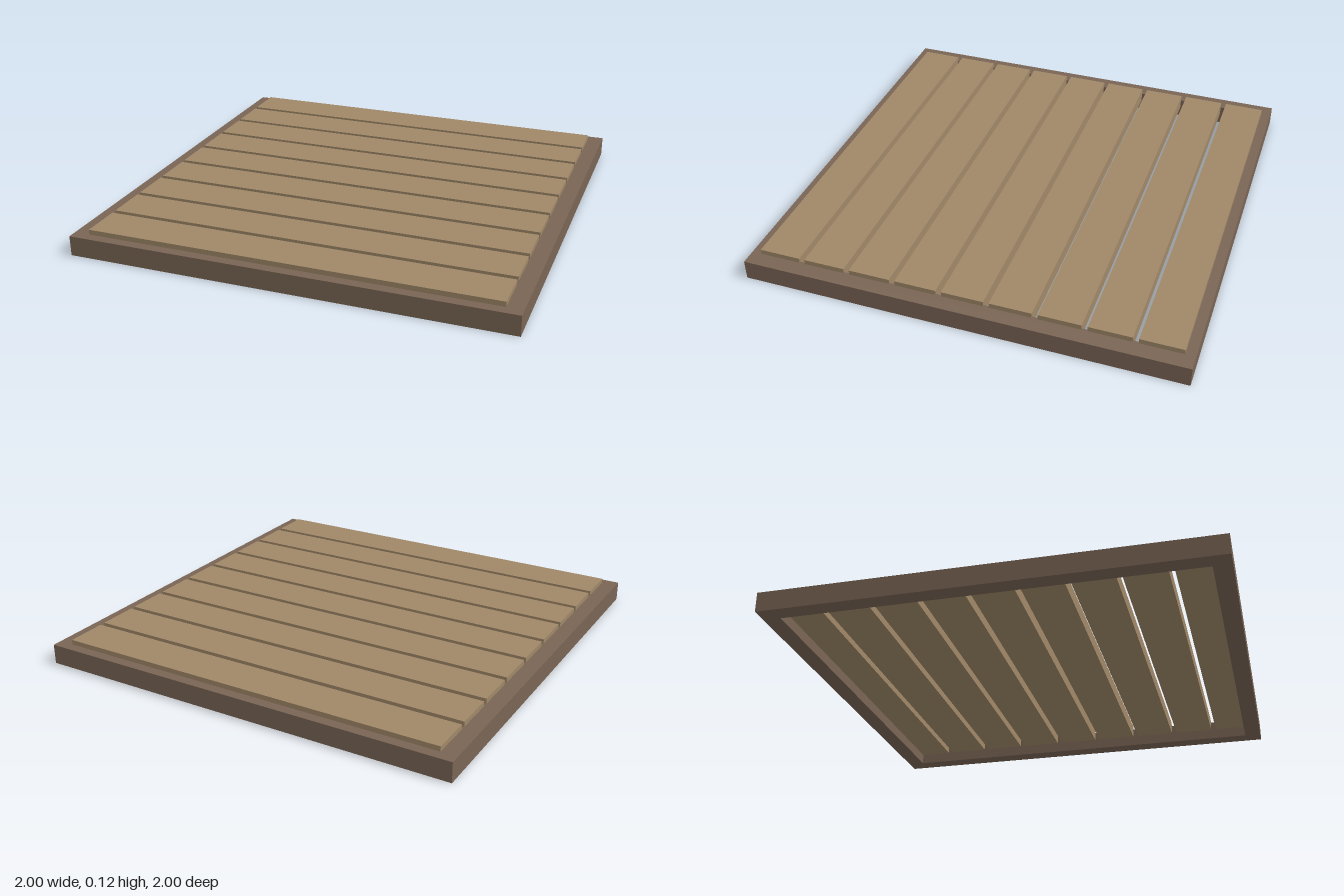
import * as THREE from 'three';

const frameWood = new THREE.MeshStandardMaterial({ color: 0x7a6555 });
frameWood.name = 'dark wood';
const slatWood = new THREE.MeshStandardMaterial({ color: 0xa08868 });
slatWood.name = 'light wood';

const FRAME_HEIGHT = 0.092;
const RAIL_WIDTH = 0.08;
const SLAT_COUNT = 9;
const SLAT_PITCH = 0.215;
const SLAT_BOTTOM = 0.05;
const SLAT_TOP = 0.115;

// Counter-clockwise square outline
function square(half, Type) {
  return new Type([
    new THREE.Vector2(-half, -half),
    new THREE.Vector2(half, -half),
    new THREE.Vector2(half, half),
    new THREE.Vector2(-half, half),
  ]);
}

export function createModel() {
  const group = new THREE.Group();
  group.name = 'slattedPlatform';

  // Square frame, open in the middle
  const outline = square(1, THREE.Shape);
  outline.holes.push(square(1 - RAIL_WIDTH, THREE.Path));
  const frameGeometry = new THREE.ExtrudeGeometry(outline, { depth: FRAME_HEIGHT, bevelEnabled: false });
  frameGeometry.rotateX(-Math.PI / 2);
  const frame = new THREE.Mesh(frameGeometry, frameWood);
  frame.name = 'frame';
  group.add(frame);

  // Evenly spaced slats let into the frame and standing slightly proud of it
  const slats = new THREE.Group();
  slats.name = 'slats';
  const slatGeometry = new THREE.BoxGeometry(1.856, SLAT_TOP - SLAT_BOTTOM, 0.19);
  for (let i = 0; i < SLAT_COUNT; i++) {
    const slat = new THREE.Mesh(slatGeometry, slatWood);
    slat.name = `slat${i + 1}`;
    slat.position.set(0, (SLAT_TOP + SLAT_BOTTOM) / 2, (i - (SLAT_COUNT - 1) / 2) * SLAT_PITCH);
    slats.add(slat);
  }
  group.add(slats);

  return group;
}
